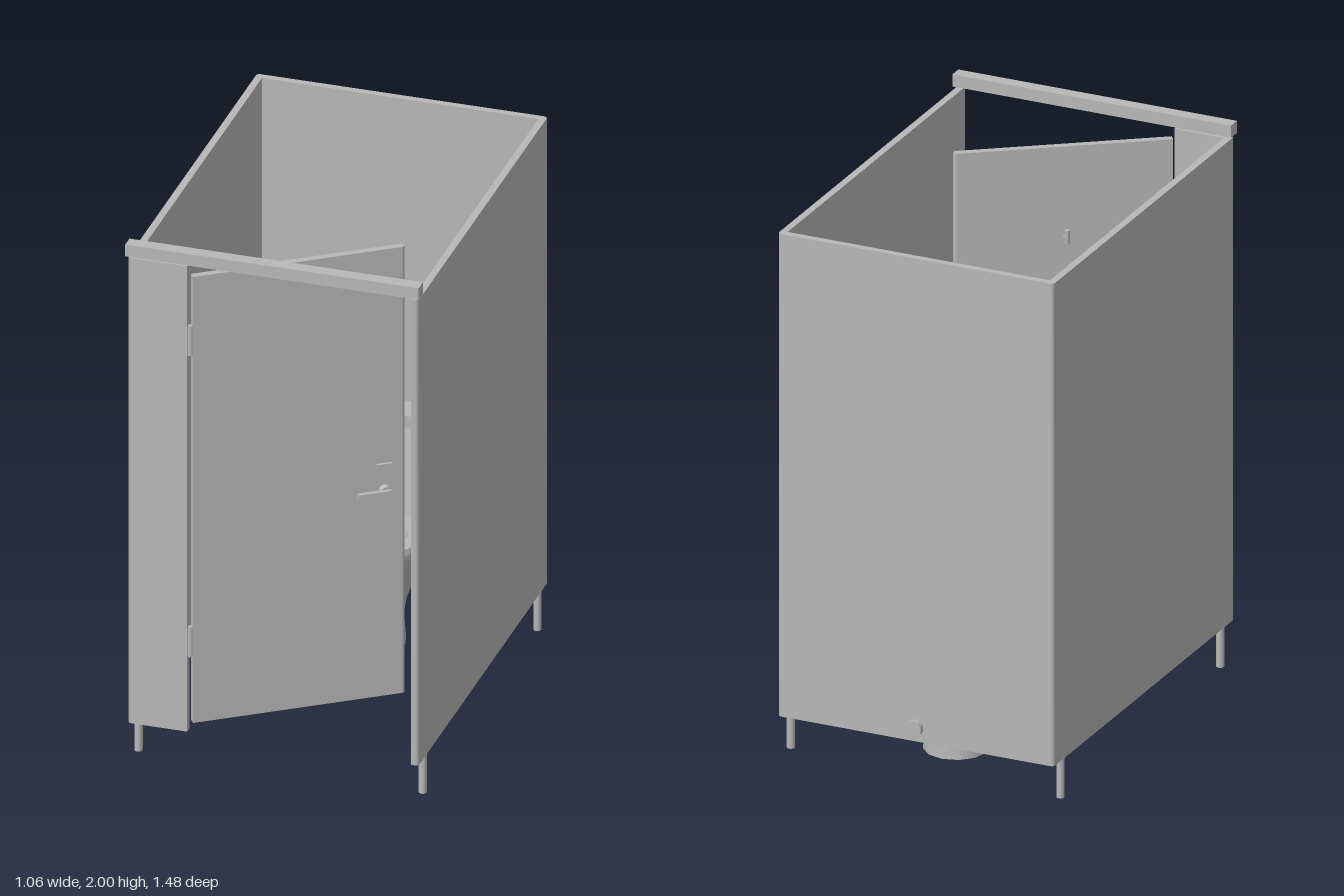
import * as THREE from 'three';
import { toCreasedNormals } from 'three/addons/utils/BufferGeometryUtils.js';

const grey = new THREE.MeshStandardMaterial({ color: 0xb8b8b8 });
grey.name = 'partition grey';

function add(parent, name, geometry, x = 0, y = 0, z = 0) {
  const mesh = new THREE.Mesh(geometry, grey);
  mesh.name = name;
  mesh.position.set(x, y, z);
  parent.add(mesh);
  return mesh;
}

// Box given by its lower and upper limits on each axis
function box(parent, name, x0, x1, y0, y1, z0, z1) {
  return add(parent, name, new THREE.BoxGeometry(x1 - x0, y1 - y0, z1 - z0),
    (x0 + x1) / 2, (y0 + y1) / 2, (z0 + z1) / 2);
}

function rod(r, length, axis = 'y', sides = 16) {
  const g = new THREE.CylinderGeometry(r, r, length, sides);
  if (axis === 'x') g.rotateZ(Math.PI / 2);
  if (axis === 'z') g.rotateX(Math.PI / 2);
  return g;
}

// Upright prism from a plan shape drawn in x and -z
function prism(shape, height) {
  const g = new THREE.ExtrudeGeometry(shape, { depth: height, bevelEnabled: false, curveSegments: 5 });
  return toCreasedNormals(g.rotateX(-Math.PI / 2), 0.6);
}

// Square corner post with one rounded outer corner, facing sx and sz
function cornerPost(sx, sz, size) {
  const s = new THREE.Shape();
  s.moveTo(0, 0);
  s.lineTo(sx * size, 0);
  s.lineTo(sx * size, -sz * size * 0.4);
  s.quadraticCurveTo(sx * size, -sz * size, sx * size * 0.4, -sz * size);
  s.lineTo(0, -sz * size);
  s.closePath();
  return prism(s, 1.8);
}

function buildPartitions(group) {
  const y0 = 0.145, y1 = 1.945, t = 0.026;
  for (const [side, sx] of [['left', 1], ['right', -1]]) {
    const xa = sx * 0.525, xb = sx * (0.525 - t);
    box(group, side + 'Wall', Math.min(xa, xb), Math.max(xa, xb), y0, y1, -0.694, 0.7);
    add(group, side + 'BackPost', cornerPost(sx, -1, t), xb, y0, -0.694);
    add(group, side + 'FrontPost', cornerPost(sx, 1, t), xb, y0, 0.7);
    for (const z of [-0.64, 0.64]) add(group, 'leg', rod(0.014, 0.15), sx * 0.513, 0.075, z);
  }
  box(group, 'backWall', -0.499, 0.499, y0, y1, -0.72, -0.694);
  box(group, 'frontPanel', -0.499, -0.31, y0, y1, 0.7, 0.726);
  box(group, 'headRail', -0.53, 0.53, 1.955, 2, 0.69, 0.738);
}

function buildDoor(group) {
  // Hinged on the right jamb and standing ajar into the stall
  const door = new THREE.Group();
  door.name = 'door';
  door.position.set(-0.297, 0, 0.712);
  door.rotation.y = 0.617;
  group.add(door);
  box(door, 'doorLeaf', 0, 0.752, 0.18, 1.905, -0.013, 0.013);
  add(door, 'doorEdge', rod(0.013, 1.725, 'y', 12), 0.752, 1.0425, 0);
  add(door, 'handleRose', rod(0.022, 0.024, 'z'), 0.69, 0.975, 0.024);
  box(door, 'handleLever', 0.584, 0.705, 0.965, 0.987, 0.034, 0.05);
  box(door, 'lockIndicator', 0.66, 0.715, 1.06, 1.08, 0.012, 0.024);
  add(door, 'coatHookStem', rod(0.007, 0.045, 'z', 10), 0.377, 1.57, -0.033);
  add(door, 'coatHookTip', rod(0.009, 0.05, 'y', 10), 0.377, 1.585, -0.055);
  for (const y of [0.49, 1.655]) add(group, 'hinge', rod(0.01, 0.115), -0.303, y, 0.713);
}

function buildToilet(group) {
  // Faceted bowl with a hollow basin
  const profile = [[0, 0], [0.115, 0], [0.107, 0.1], [0.12, 0.18], [0.155, 0.28], [0.18, 0.37],
    [0.187, 0.4], [0.18, 0.42], [0.125, 0.42], [0.115, 0.4], [0.09, 0.3], [0.045, 0.24], [0, 0.23]]
    .map(([r, y]) => new THREE.Vector2(r, y));
  add(group, 'toiletBowl', toCreasedNormals(new THREE.LatheGeometry(profile, 12), 0.75), 0, 0, -0.395);
  box(group, 'bowlBack', -0.11, 0.11, 0.28, 0.415, -0.69, -0.5);

  // Cistern body, its front leaning out towards the bottom
  const g = new THREE.BoxGeometry(0.37, 0.33, 0.1);
  const p = g.attributes.position;
  for (let i = 0; i < p.count; i++) {
    if (p.getY(i) < 0 && p.getZ(i) > 0) p.setZ(i, 0.115);
  }
  g.computeVertexNormals();
  add(group, 'cistern', g, 0, 0.575, -0.642);

  // Lid with clipped corners
  const w = 0.2, d = 0.055, c = 0.018;
  const lid = new THREE.Shape([[-w + c, -d], [w - c, -d], [w, -d + c], [w, d - c],
    [w - c, d], [-w + c, d], [-w, d - c], [-w, -d + c]].map(([x, y]) => new THREE.Vector2(x, y)));
  add(group, 'cisternLid', prism(lid, 0.045), 0, 0.735, -0.638);
  add(group, 'flushButton', rod(0.03, 0.012, 'y', 20), 0, 0.785, -0.645);
  add(group, 'wastePipe', rod(0.029, 0.16, 'z'), 0, 0.198, -0.66);
}

function buildPaperHolder(group) {
  box(group, 'paperHolderPlate', 0.476, 0.5, 0.73, 0.828, -0.355, -0.2);
  add(group, 'paperRoll', rod(0.052, 0.102, 'x', 24), 0.426, 0.761, -0.278);
}

export function createModel() {
  const group = new THREE.Group();
  group.name = 'toiletStall';
  buildPartitions(group);
  buildDoor(group);
  buildToilet(group);
  buildPaperHolder(group);
  return group;
}
